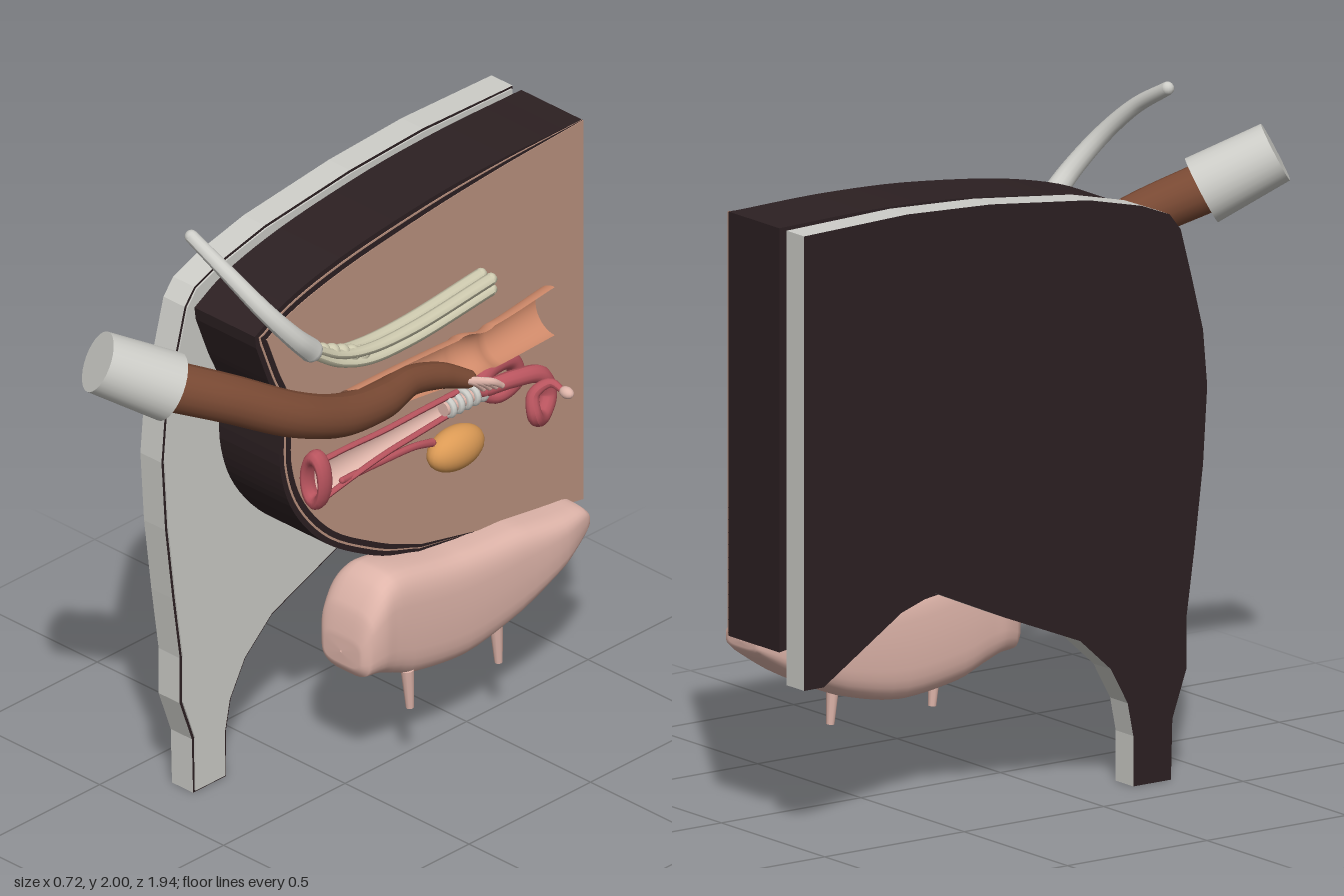
import * as THREE from 'three';
import { ParametricGeometry } from 'three/addons/geometries/ParametricGeometry.js';

const mat = (name, color, side = THREE.FrontSide) => {
  const m = new THREE.MeshStandardMaterial({ color, side });
  m.name = name;
  return m;
};
const V = (a) => new THREE.Vector3(a[0], a[1], a[2]);

export function createModel() {
  const root = new THREE.Group();
  const M = {
    grey: mat('lightGrey', 0xcdcdc8),
    dark: mat('darkHide', 0x2c2022),
    tan: mat('cavityTan', 0xbc9380),
    pink: mat('palePink', 0xdfb5aa, THREE.DoubleSide),
    brown: mat('sleeveBrown', 0x7a4a34),
    orange: mat('rectumOrange', 0xd08a6a, THREE.DoubleSide),
    cream: mat('boneCream', 0xcfcbb0),
    red: mat('uterusRed', 0xb8545e),
    amber: mat('bladderAmber', 0xdb9a55),
  };
  const add = (name, geo, material, parent = root) => {
    const mesh = new THREE.Mesh(geo, material);
    mesh.name = name;
    parent.add(mesh);
    return mesh;
  };

  // Outlines are [z, y, rim width]; the slab is extruded along x
  const inset = (pts, k) => pts.map((p, i) => {
    const a = pts[(i + pts.length - 1) % pts.length], b = pts[(i + 1) % pts.length];
    const n = (s, e) => new THREE.Vector2(-(e[1] - s[1]), -(e[0] - s[0])).normalize();
    const d = n(a, p).add(n(p, b)).normalize().multiplyScalar(k * p[2]);
    return new THREE.Vector2(-p[0] + d.x, p[1] + d.y);
  });
  const slab = (pts, k, x0, x1) => {
    const shape = new THREE.Shape(inset(pts, k));
    return new THREE.ExtrudeGeometry(shape, { depth: x1 - x0, bevelEnabled: false })
      .rotateY(Math.PI / 2).translate(x0, 0, 0);
  };
  const smooth = (pts, n) => new THREE.CatmullRomCurve3(pts.map(V)).getPoints(n).map((p) => [p.x, p.y, p.z]);

  // Tube through [x, y, z, radius] points with rounded ends
  const tube = (name, pts, material, radial = 12, steps = 40) => {
    const curve = new THREE.CatmullRomCurve3(pts.map(V));
    const geo = new THREE.TubeGeometry(curve, steps, 1, radial);
    const pos = geo.attributes.position, v = new THREE.Vector3();
    for (let i = 0; i < pos.count; i++) {
      const u = Math.floor(i / (radial + 1)) / steps;
      const t = curve.getUtoTmapping(u) * (pts.length - 1);
      const j = Math.min(Math.floor(t), pts.length - 2);
      const r = THREE.MathUtils.lerp(pts[j][3], pts[j + 1][3], t - j);
      const c = curve.getPointAt(u);
      v.fromBufferAttribute(pos, i).sub(c).multiplyScalar(r).add(c);
      pos.setXYZ(i, v.x, v.y, v.z);
    }
    geo.computeVertexNormals();
    const g = new THREE.Group();
    g.name = name;
    root.add(g);
    add(name + 'Skin', geo, material, g);
    for (const p of [pts[0], pts[pts.length - 1]]) {
      add(name + 'End', new THREE.SphereGeometry(p[3], radial, 8), material, g).position.set(p[0], p[1], p[2]);
    }
    return g;
  };

  // Loft along z through [x, y, z, rx, ry] stations over an arc; power < 1 squares the section
  const loft = (st, a0, a1, power, nu = 32, nv = 24) => {
    const A = new THREE.CatmullRomCurve3(st.map(V));
    const B = new THREE.CatmullRomCurve3(st.map((s) => new THREE.Vector3(s[3], s[4], 0)));
    const bend = (c) => Math.sign(c) * Math.abs(c) ** power;
    return new ParametricGeometry((u, v, out) => {
      const t = THREE.MathUtils.clamp(u, 0, 1), p = A.getPoint(t), r = B.getPoint(t);
      const a = a0 + (a1 - a0) * v;
      out.set(p.x + r.x * bend(Math.cos(a)), p.y + r.y * bend(Math.sin(a)), p.z);
    }, nu, nv);
  };

  // Back panel with rear leg
  const panel = [
    [-0.97, 1.81, 1], [-0.6, 1.82, 1], [-0.3, 1.805, 1], [0.05, 1.765, 1], [0.24, 1.72, 1], [0.34, 1.68, 1],
    [0.38, 1.63, 1], [0.42, 1.48, 1], [0.46, 1.32, 1], [0.475, 1.15, 1], [0.46, 0.92, 1], [0.43, 0.68, 1],
    [0.4, 0.47, 1], [0.4, 0.32, 1], [0.35, 0.18, 1], [0.345, 0.01, 1], [0.21, 0.01, 1], [0.21, 0.15, 1],
    [0.19, 0.25, 1], [0.13, 0.36, 1], [0.02, 0.46, 1], [-0.25, 0.57, 1], [-0.5, 0.68, 1], [-0.62, 0.64, 1],
    [-0.9, 0.46, 1], [-0.97, 0.46, 1]].map((p) => [p[0], Math.max(p[1], 0), p[2]]);
  panel[15][1] = panel[16][1] = 0;
  add('backPanel', slab(panel, 0, -0.36, -0.275), [M.dark, M.grey]);
  add('backPanelFace', slab(panel, 0.009, -0.276, -0.27), M.grey);

  // Body block: dark hide, thin tan rim stripe, tan cavity wall
  const body = [
    ...smooth([[-0.97, 1.81, 0], [-0.6, 1.815, 0.6], [-0.3, 1.80, 0.9], [0.05, 1.755, 1], [0.26, 1.7, 1], [0.375, 1.64, 1]], 24),
    ...smooth([[0.37, 1.6, 1], [0.32, 1.47, 1], [0.275, 1.36, 1], [0.27, 1.15, 1], [0.22, 1.0, 1], [0.09, 0.84, 1],
      [-0.1, 0.72, 1], [-0.3, 0.65, 0.6]], 36),
    [-0.6, 0.61, 0], [-0.97, 0.55, 0]];
  add('bodyBlock', slab(body, 0, -0.24, 0.004), M.dark);
  add('rimStripe', slab(body, 0.017, 0.002, 0.006), M.tan);
  add('rimInner', slab(body, 0.024, 0.002, 0.008), M.dark);
  add('cavityWall', slab(body, 0.042, 0.002, 0.01), M.tan);

  // Udder and teats
  const udder = [
    [0.022, 0.45, 0.003, 0.003], [0.02, 0.45, 0.07, 0.04], [0.0, 0.475, 0.1, 0.1], [-0.05, 0.51, 0.115, 0.14],
    [-0.1, 0.515, 0.115, 0.165], [-0.2, 0.49, 0.115, 0.18], [-0.4, 0.46, 0.115, 0.175], [-0.62, 0.475, 0.115, 0.145],
    [-0.8, 0.505, 0.113, 0.09], [-0.9, 0.53, 0.09, 0.05], [-0.925, 0.53, 0.075, 0.025], [-0.927, 0.53, 0.003, 0.003]]
    .map(([z, y, rx, ry]) => [0.005, y, z, rx, ry]);
  add('udder', loft(udder, 0, Math.PI * 2, 0.55, 44, 32), M.pink);
  for (const z of [-0.18, -0.545]) {
    const teat = add('teat', new THREE.CylinderGeometry(0.02, 0.012, 0.13, 10), M.pink);
    teat.position.set(0.08, 0.275, z);
    teat.rotation.x = 0.08;
  }

  // Sleeved arm, cuff and fingers
  tube('sleevedArm', [[0.0, 1.63, 0.74, 0.075], [0.09, 1.55, 0.57, 0.072], [0.165, 1.45, 0.38, 0.068], [0.18, 1.38, 0.2, 0.064],
    [0.165, 1.35, 0.02, 0.058], [0.14, 1.345, -0.12, 0.045], [0.14, 1.31, -0.25, 0.04], [0.16, 1.27, -0.34, 0.028]], M.brown, 18, 60);
  const cuffA = new THREE.Vector3(-0.11, 1.73, 0.905), cuffB = new THREE.Vector3(0.005, 1.62, 0.725);
  const cuffDir = cuffA.clone().sub(cuffB);
  const cuff = add('cuff', new THREE.CylinderGeometry(0.092, 0.104, cuffDir.length(), 28), M.grey);
  cuff.position.copy(cuffA).add(cuffB).multiplyScalar(0.5);
  cuff.quaternion.setFromUnitVectors(new THREE.Vector3(0, 1, 0), cuffDir.normalize());
  for (let i = 0; i < 4; i++) {
    const o = i * 0.017;
    tube('finger', [[0.16 + o * 0.5, 1.285 - o * 0.3, -0.3 - o, 0.012], [0.185 + o * 0.5, 1.27 - o * 0.2, -0.34 - o, 0.012],
      [0.19 + o * 0.5, 1.235, -0.375 - o, 0.009]], M.pink, 8, 10);
  }

  // Rectum: half pipe open to the left
  add('rectum', loft([[0.16, 1.37, 0.13, 0.06, 0.05], [0.165, 1.36, -0.1, 0.065, 0.062], [0.165, 1.345, -0.3, 0.07, 0.07],
    [0.165, 1.335, -0.45, 0.07, 0.07], [0.17, 1.355, -0.69, 0.078, 0.08]], Math.PI / 2, Math.PI * 1.5, 1), M.orange);

  // Tail and bundled spine
  tube('tail', [[-0.12, 1.98, 0.51, 0.02], [0.02, 1.9, 0.495, 0.024], [0.12, 1.8, 0.45, 0.028], [0.165, 1.7, 0.375, 0.032],
    [0.165, 1.635, 0.31, 0.036]], M.grey, 14);
  for (const [dx, dy] of [[-0.02, 0.017], [0.02, 0.017], [-0.02, -0.017], [0.02, -0.017], [0, 0]]) {
    tube('spineStrand', [[0.145 + dx * 0.7, 1.625 + dy * 0.6, 0.3, 0.013], [0.14 + dx * 0.8, 1.55 + dy * 0.8, 0.18, 0.015],
      [0.135 + dx, 1.515 + dy, 0.06, 0.017], [0.135 + dx, 1.51 + dy, -0.12, 0.019], [0.132 + dx, 1.538 + dy, -0.445, 0.019]], M.cream, 8);
  }
  for (let i = 0; i < 6; i++) {
    const k = i / 5;
    add('vertebra', new THREE.SphereGeometry(0.027, 10, 8), M.cream)
      .position.set(0.142, 1.61 - 0.09 * k, 0.28 - 0.2 * k);
  }

  // Vagina: pale half pipe with red edges, vulva ring and urethra
  const cx = 0.155;
  const canal = [[0.25, 1.175, 0.065], [0.15, 1.185, 0.055], [0, 1.195, 0.04], [-0.15, 1.203, 0.035], [-0.3, 1.21, 0.03]];
  add('vagina', loft(canal.map(([z, y, r]) => [cx, y, z, r * 0.7, r]), Math.PI / 2, Math.PI * 1.5, 1), M.pink);
  for (const s of [1, -1]) {
    tube('vaginaEdge', canal.map(([z, y, r]) => [cx, y + s * r, z, 0.009]), M.red, 8);
  }
  const vulva = add('vulva', new THREE.TorusGeometry(0.065, 0.022, 10, 24), M.red);
  vulva.position.set(0.14, 1.175, 0.262);
  vulva.scale.set(0.55, 1.12, 1.3);
  tube('urethra', [[cx, 1.14, 0.17, 0.01], [0.14, 1.125, 0, 0.011], [0.13, 1.11, -0.15, 0.011], [0.12, 1.085, -0.235, 0.013]], M.red, 8);

  // Cervix rings
  add('cervixCore', new THREE.CylinderGeometry(0.022, 0.022, 0.17, 14).rotateX(Math.PI / 2), M.pink).position.set(cx, 1.205, -0.33);
  for (let i = 0; i < 5; i++) {
    add('cervixRing', new THREE.TorusGeometry(0.024, 0.011, 8, 18), M.grey).position.set(cx, 1.205, -0.265 - i * 0.033);
  }

  // Mirrored uterine horns and ovaries
  for (const s of [1, -1]) {
    const horn = [[0.015, 1.215, -0.4, 0.024], [0.045, 1.225, -0.49, 0.026], [0.06, 1.205, -0.585, 0.027], [0.065, 1.13, -0.61, 0.027],
      [0.09, 1.09, -0.555, 0.026], [0.115, 1.125, -0.505, 0.023], [0.1, 1.185, -0.515, 0.019], [0.125, 1.215, -0.56, 0.014], [0.165, 1.2, -0.57, 0.009]];
    tube('uterineHorn', horn.map(([x, y, z, r]) => [cx + s * x, y, z, r]), M.red, 12, 60);
    const ovary = add('ovary', new THREE.SphereGeometry(0.018, 14, 10), M.pink);
    ovary.position.set(cx + s * 0.18, 1.2, -0.57);
    ovary.scale.x = 1.4;
  }

  // Bladder
  const bladder = add('bladder', new THREE.SphereGeometry(1, 28, 18), M.amber);
  bladder.position.set(0.11, 1.02, -0.342);
  bladder.scale.set(0.057, 0.067, 0.105);

  return root;
}
